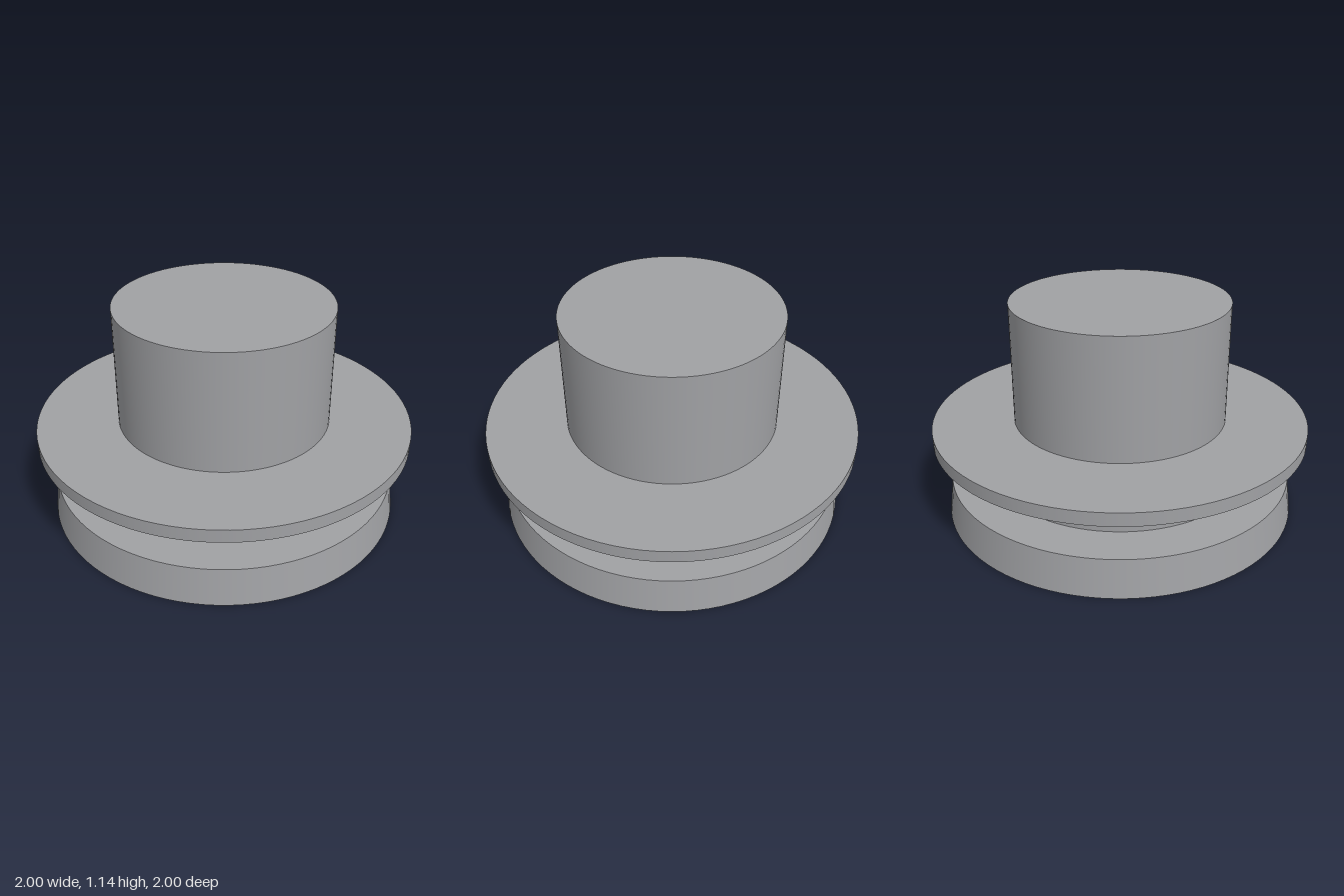
import * as THREE from 'three';

export function createModel() {
  const group = new THREE.Group();
  group.name = 'pushButton';
  const grey = new THREE.MeshStandardMaterial({ color: 0xa0a1a4 });
  grey.name = 'grey';

  // Round section between two heights, bottom and top radius
  function addSection(name, bottomRadius, topRadius, y0, y1) {
    const geometry = new THREE.CylinderGeometry(topRadius, bottomRadius, y1 - y0, 96);
    const mesh = new THREE.Mesh(geometry, grey);
    mesh.name = name;
    mesh.position.y = (y0 + y1) / 2;
    group.add(mesh);
  }

  addSection('taperedBase', 0.945, 0.92, 0, 0.2);
  addSection('neck', 0.7, 0.7, 0.2, 0.43);
  addSection('flange', 1, 1, 0.43, 0.5);
  addSection('topCylinder', 0.57, 0.57, 0.5, 1.143);

  return group;
}
